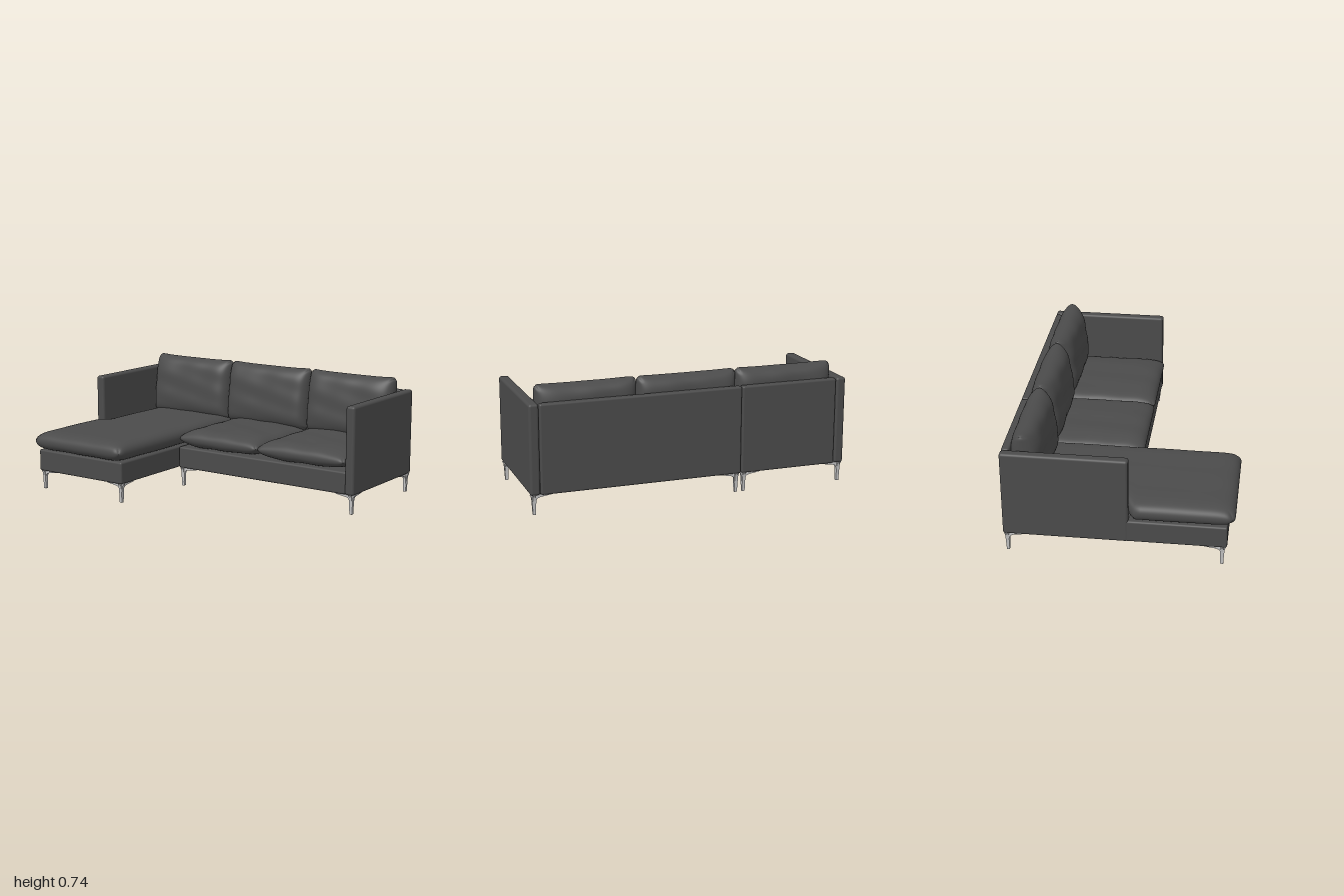
import * as THREE from 'three';
import { mergeVertices } from 'three/addons/utils/BufferGeometryUtils.js';
import { RoundedBoxGeometry } from 'three/addons/geometries/RoundedBoxGeometry.js';

const makeMaterial = (name, color) => {
  const m = new THREE.MeshStandardMaterial({ color });
  m.name = name;
  return m;
};

// Soft cushion lying in the XY plane: rounded outline, thickness falling to the seam
function cushionGeometry(w, h, t, { corner = 0.03, ru = 0.07, rv = 0.07, seed = 0, wrinkle = 0.004, ears = 0 }) {
  const a = w / 2, b = h / 2;
  let g = new THREE.BoxGeometry(2, 2, 2, 56, 56, 1);
  g.deleteAttribute('uv');
  g.deleteAttribute('normal');
  const p = g.attributes.position;
  for (let i = 0; i < p.count; i++) {
    // denser rows toward the edges
    const u = Math.sin(p.getX(i) * Math.PI / 2), v = Math.sin(p.getY(i) * Math.PI / 2);
    const side = Math.sign(p.getZ(i));
    const full = Math.sqrt(Math.max(0, (1 - Math.abs(u) ** (2 * a / ru)) * (1 - Math.abs(v) ** (2 * b / rv))));
    // round the corners of the outline
    let x = u * a, y = v * b;
    const ix = THREE.MathUtils.clamp(x, corner - a, a - corner), iy = THREE.MathUtils.clamp(y, corner - b, b - corner);
    const dx = x - ix, dy = y - iy, len = Math.hypot(dx, dy);
    if (len > 1e-9) {
      const k = Math.max(Math.abs(dx), Math.abs(dy)) / len;
      x = ix + dx * k;
      y = iy + dy * k;
    }
    y += ears * u ** 4 * Math.max(0, v);
    // gentle folds in the cloth
    const fold = wrinkle * full * (Math.sin(6 * u + 4 * v + seed) * Math.sin(5 * v - 3 * u + 2 * seed) - 0.5);
    p.setXYZ(i, x, y, side * (full * t / 2 + fold));
  }
  g = mergeVertices(g, 1e-5);
  g.computeVertexNormals();
  return g;
}

export function createModel() {
  const group = new THREE.Group();
  group.name = 'cornerSofa';
  const fabric = makeMaterial('charcoal fabric', 0x4b4b4b);
  const lining = makeMaterial('black lining', 0x1c1c1c);
  const metal = makeMaterial('polished metal', 0xc4c4c4);

  const add = (name, geometry, material) => {
    const mesh = new THREE.Mesh(geometry, material);
    mesh.name = name;
    group.add(mesh);
    return mesh;
  };
  // Upholstered panel from its limits on each axis
  const panel = (name, x0, x1, y0, y1, z0, z1, r = 0.012, material = fabric) => {
    const g = r ? new RoundedBoxGeometry(x1 - x0, y1 - y0, z1 - z0, 4, r)
      : new THREE.BoxGeometry(x1 - x0, y1 - y0, z1 - z0);
    add(name, g, material).position.set((x0 + x1) / 2, (y0 + y1) / 2, (z0 + z1) / 2);
  };

  // Frame
  panel('chaiseBase', -0.983, -0.305, 0.12, 0.258, -0.66, 0.635);
  panel('sofaBase', -0.3, 0.94, 0.12, 0.258, -0.66, 0.057);
  panel('rightArm', -0.985, -0.925, 0.118, 0.658, -0.68, 0.06, 0.016);
  panel('leftArm', 0.936, 0.996, 0.118, 0.658, -0.68, 0.06, 0.016);
  panel('chaiseBack', -0.922, -0.308, 0.118, 0.655, -0.68, -0.632);
  panel('sofaBack', -0.304, 0.933, 0.118, 0.655, -0.68, -0.632);

  // Dark lining underneath
  panel('chaiseLining', -0.955, -0.335, 0.115, 0.121, -0.65, 0.605, 0, lining);
  panel('sofaLining', -0.27, 0.965, 0.115, 0.121, -0.65, 0.03, 0, lining);

  // Chaise cushion, narrowed where it passes inside the arm
  const chaise = cushionGeometry(0.715, 1.31, 0.128, { corner: 0.05, ru: 0.075, rv: 0.08, seed: 1, wrinkle: 0.002 });
  chaise.rotateX(-Math.PI / 2).translate(-0.6425, 0.317, 0.022);
  const p = chaise.attributes.position;
  for (let i = 0; i < p.count; i++) {
    const x = p.getX(i), inside = 1 - THREE.MathUtils.smoothstep(p.getZ(i), 0.05, 0.08);
    if (x < -0.6) p.setX(i, -0.6 + (x + 0.6) * (1 - 0.19 * inside));
  }
  chaise.computeVertexNormals();
  add('chaiseCushion', chaise, fabric);

  // Seat cushions
  [[-0.292, 0.312, 2], [0.308, 0.938, 4]].forEach(([x0, x1, seed], i) => {
    const g = cushionGeometry(x1 - x0, 0.705, 0.13, { corner: 0.035, ru: 0.12, rv: 0.1, seed });
    g.rotateX(-Math.PI / 2);
    add('seatCushion' + (i + 1), g, fabric).position.set((x0 + x1) / 2, 0.316, -0.278);
  });

  // Leaning back cushions
  [[-0.922, -0.302, 0.5], [-0.3, 0.318, 2.5], [0.324, 0.936, 5]].forEach(([x0, x1, seed], i) => {
    const g = cushionGeometry(x1 - x0, 0.4, 0.182, { corner: 0.03, ru: 0.08, rv: 0.1, seed, ears: 0.008 });
    const mesh = add('backCushion' + (i + 1), g, fabric);
    mesh.position.set((x0 + x1) / 2, 0.54, -0.54);
    mesh.rotation.x = -0.13;
  });

  // Legs: a tapered post with two bracket wings running along the frame
  const outline = [[-0.023, 0.119], [0.105, 0.119], [0.105, 0.114], [0.035, 0.104], [0.018, 0.097],
    [0.012, 0.085], [0.008, 0], [-0.008, 0], [-0.013, 0.085], [-0.016, 0.105]];
  const wing = new THREE.ExtrudeGeometry(new THREE.Shape(outline.map(([x, y]) => new THREE.Vector2(x, y))),
    { depth: 0.018, bevelEnabled: false });
  wing.translate(0, 0, -0.009);
  const addLeg = (name, x, z, turn) => {
    const leg = new THREE.Group();
    leg.name = name;
    [0, -Math.PI / 2].forEach((angle, i) => {
      const mesh = new THREE.Mesh(wing, metal);
      mesh.name = i ? 'legSideWing' : 'legFrontWing';
      mesh.rotation.y = angle;
      leg.add(mesh);
    });
    leg.position.set(x, 0, z);
    leg.rotation.y = turn;
    group.add(leg);
  };
  [['chaise', -0.96, -0.328, 0.607], ['sofa', -0.278, 0.972, 0.032]].forEach(([name, x0, x1, front]) => {
    addLeg(name + 'BackRightLeg', x0, -0.655, 0);
    addLeg(name + 'FrontRightLeg', x0, front, Math.PI / 2);
    addLeg(name + 'FrontLeftLeg', x1, front, Math.PI);
    addLeg(name + 'BackLeftLeg', x1, -0.655, -Math.PI / 2);
  });

  return group;
}
